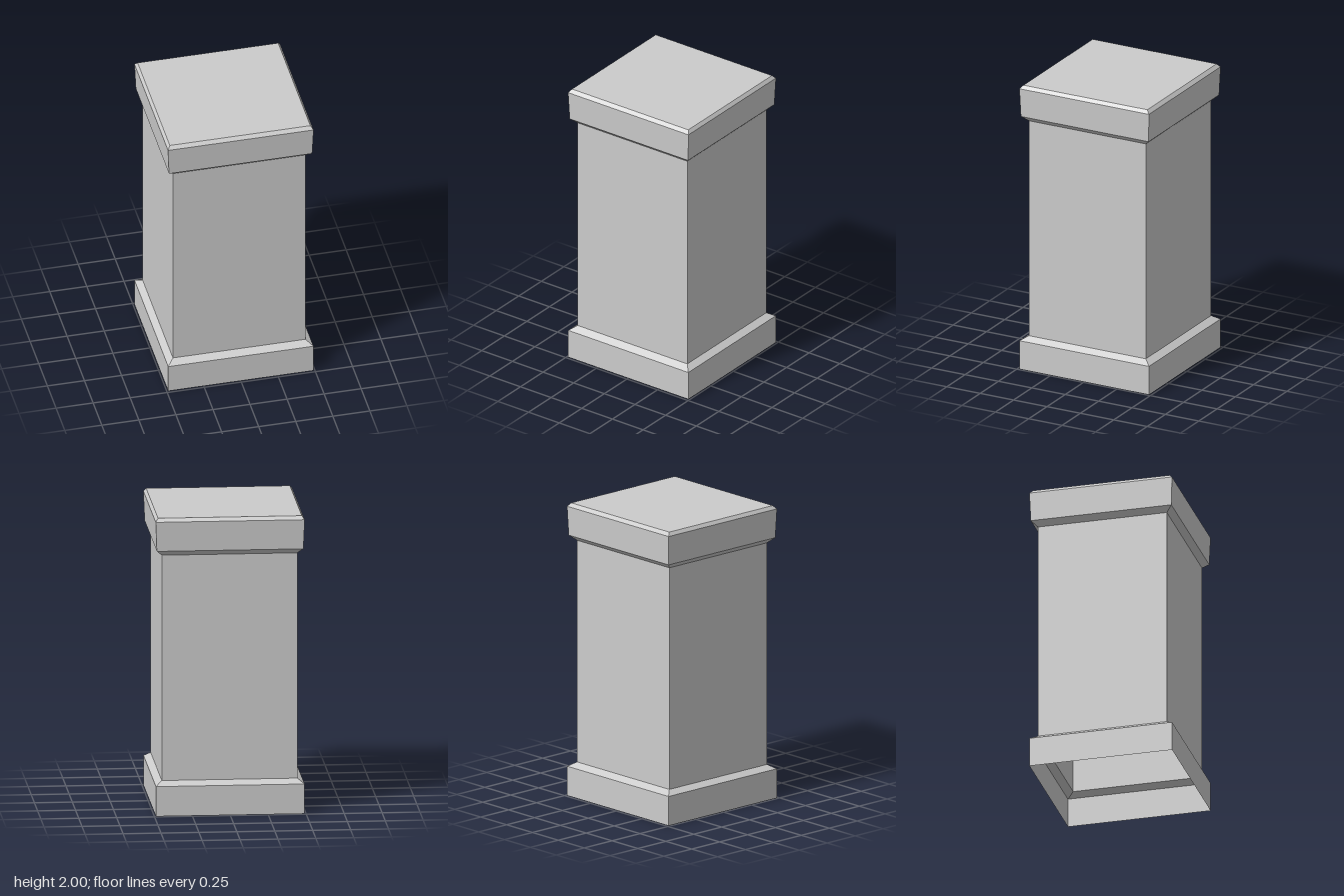
import * as THREE from 'three';

const material = new THREE.MeshStandardMaterial({ color: 0xcccccc, flatShading: true, side: THREE.DoubleSide });

// Rectangular shell through cross-sections [halfWidth, halfDepth, y], bottom to top
function rectShell(name, sections, closeTop = false) {
  const ring = ([w, d, y]) => [[-w, y, d], [w, y, d], [w, y, -d], [-w, y, -d]];
  const pos = [];
  const quad = (a, b, c, d) => pos.push(...a, ...b, ...c, ...a, ...c, ...d);
  for (let s = 0; s < sections.length - 1; s++) {
    const lo = ring(sections[s]), hi = ring(sections[s + 1]);
    for (let i = 0; i < 4; i++) {
      const j = (i + 1) % 4;
      quad(lo[i], lo[j], hi[j], hi[i]);
    }
  }
  if (closeTop) quad(...ring(sections[sections.length - 1]));
  const geometry = new THREE.BufferGeometry();
  geometry.setAttribute('position', new THREE.Float32BufferAttribute(pos, 3));
  geometry.computeVertexNormals();
  const mesh = new THREE.Mesh(geometry, material);
  mesh.name = name;
  return mesh;
}

export function createModel() {
  const group = new THREE.Group();
  group.name = 'pedestal';
  const shaftFoot = [0.447, 0.438, 0.23];
  const shaftHead = [0.447, 0.438, 1.745];

  group.add(
    // Open-bottomed plinth with a sloped shoulder
    rectShell('base', [[0.49, 0.485, 0], [0.49, 0.485, 0.2], shaftFoot]),
    // Hollow column
    rectShell('shaft', [shaftFoot, shaftHead]),
    // Flared cap with a bevelled, closed top
    rectShell('cap', [shaftHead, [0.483, 0.478, 1.78], [0.491, 0.485, 1.977], [0.474, 0.464, 2]], true),
  );
  return group;
}
